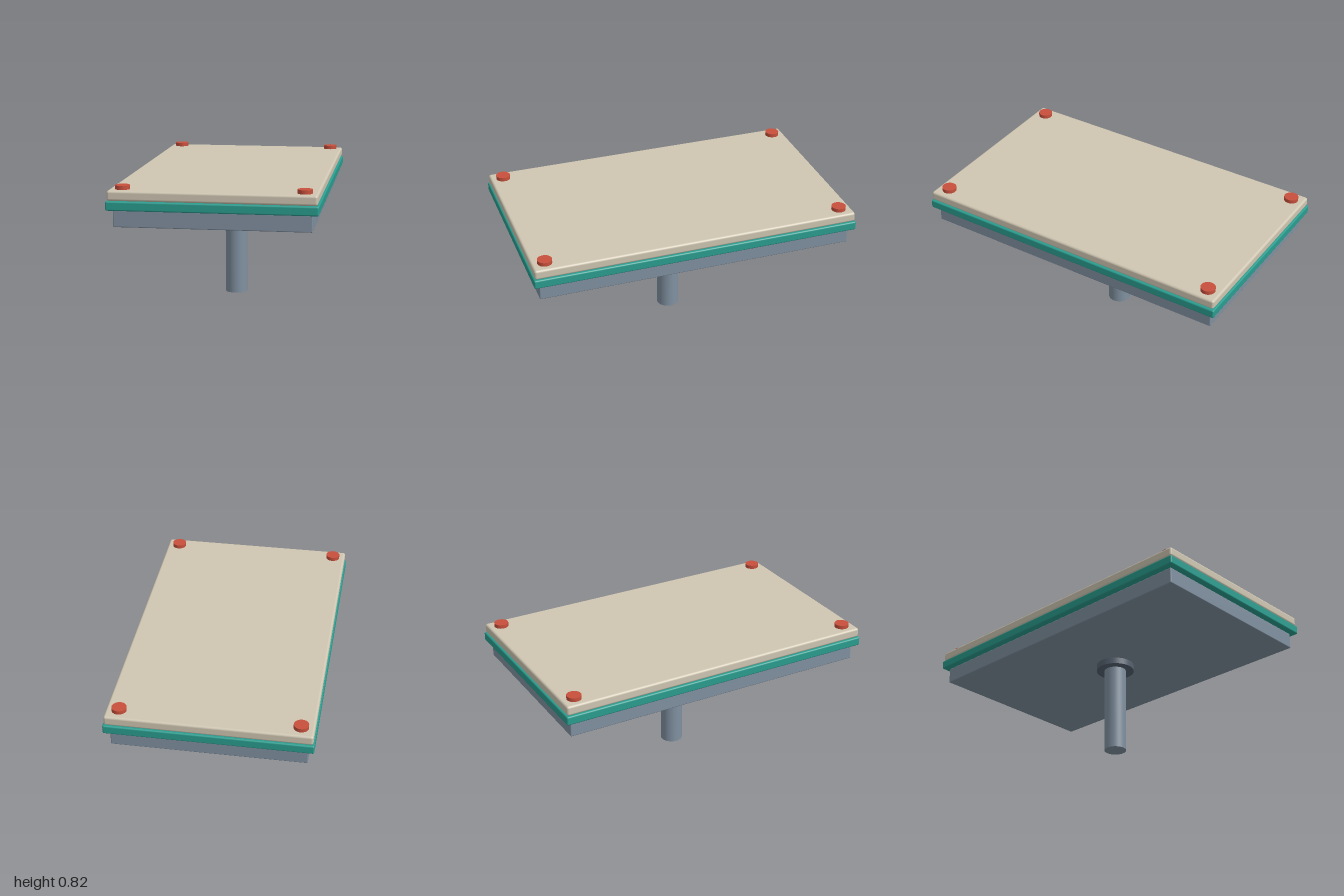
import * as THREE from 'three';
import { RoundedBoxGeometry } from 'three/addons/geometries/RoundedBoxGeometry.js';

const material = (color) => new THREE.MeshStandardMaterial({ color });

export function createModel() {
  const model = new THREE.Group();
  const steel = material(0x8090a0);
  const darkSteel = material(0x556270);
  const teal = material(0x2a9d8f);
  const beige = material(0xcfc6b2);
  const red = material(0xc8503c);

  const add = (name, geometry, mat, x, y, z) => {
    const mesh = new THREE.Mesh(geometry, mat);
    mesh.name = name;
    mesh.position.set(x, y, z);
    model.add(mesh);
  };
  // Rounded slab spanning bottom to top
  const slab = (name, width, depth, bottom, top, radius, mat) =>
    add(name, new RoundedBoxGeometry(width, top - bottom, depth, 3, radius), mat, 0, (bottom + top) / 2, 0);
  // Upright cylinder spanning bottom to top
  const disc = (name, radius, bottom, top, mat, x = 0, z = 0) =>
    add(name, new THREE.CylinderGeometry(radius, radius, top - bottom, 48), mat, x, (bottom + top) / 2, z);

  // Mounting post and its collar
  disc('post', 0.068, 0, 0.546, steel);
  disc('collar', 0.118, 0.545, 0.585, darkSteel);

  // Stacked plates
  slab('basePlate', 1.132, 1.93, 0.584, 0.683, 0.006, steel);
  slab('middlePlate', 1.204, 2.0, 0.683, 0.737, 0.009, teal);
  slab('topPlate', 1.19, 1.987, 0.738, 0.797, 0.014, beige);

  // Corner studs
  for (const x of [-0.518, 0.518]) {
    for (const z of [-0.915, 0.915]) disc('cornerStud', 0.043, 0.79, 0.82, red, x, z);
  }
  return model;
}
